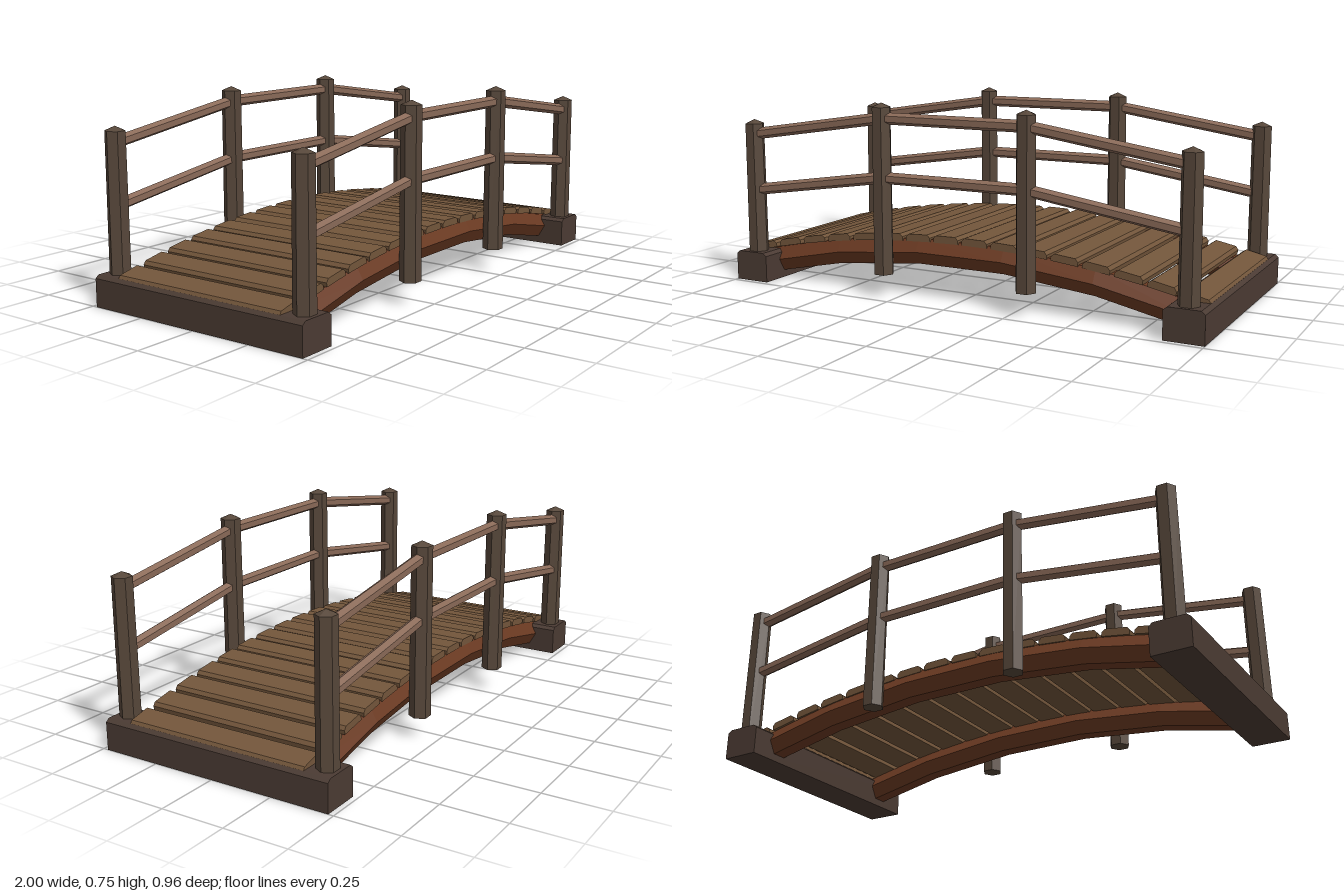
import * as THREE from 'three';

const material = (color) => new THREE.MeshStandardMaterial({ color, flatShading: true });

// Beam with a chamfered x/y profile, running across the bridge along z
function crossBeam(halfWidth, height, chamferX, chamferY, length) {
  const shape = new THREE.Shape([
    new THREE.Vector2(-halfWidth, 0),
    new THREE.Vector2(halfWidth, 0),
    new THREE.Vector2(halfWidth, height - chamferY),
    new THREE.Vector2(halfWidth - chamferX, height),
    new THREE.Vector2(-halfWidth + chamferX, height),
    new THREE.Vector2(-halfWidth, height - chamferY),
  ]);
  return new THREE.ExtrudeGeometry(shape, { depth: length, bevelEnabled: false }).translate(0, 0, -length / 2);
}

export function createModel() {
  const bridge = new THREE.Group();
  bridge.name = 'footbridge';
  const sillWood = material(0x4b3b33);
  const postWood = material(0x57473a);
  const railWood = material(0x8a6a58);
  const plankWood = material(0x73563b);
  const beamWood = material(0x6b3a22);

  const add = (name, geometry, mat, x = 0, y = 0, z = 0) => {
    const mesh = new THREE.Mesh(geometry, mat);
    mesh.name = name;
    mesh.position.set(x, y, z);
    bridge.add(mesh);
    return mesh;
  };

  // Foundation sills at both ends
  for (const s of [-1, 1]) add('sill', crossBeam(0.075, 0.12, 0.015, 0.012, 0.96), sillWood, s * 0.925);

  // Arched hexagonal beams under the deck
  for (const s of [-1, 1]) {
    const beam = new THREE.CylinderGeometry(0.058, 0.058, 1.85, 6, 5).rotateZ(Math.PI / 2);
    const p = beam.attributes.position;
    for (let i = 0; i < p.count; i++) p.setY(i, p.getY(i) + 0.184 - 0.14 * p.getX(i) ** 2);
    add('archBeam', beam, beamWood, 0, 0, s * 0.337);
  }

  // Deck planks following the arch
  const plank = crossBeam(0.054, 0.028, 0.012, 0.012, 0.75);
  for (let i = 0; i < 16; i++) {
    const x = (i - 7.5) * 0.124;
    const mesh = add('plank', plank, plankWood, x, 0.222 - 0.125 * x * x);
    mesh.rotation.z = Math.atan(-0.25 * x);
  }

  // Hexagonal posts with low pointed caps
  const posts = [
    { x: -0.925, bottom: 0.06, top: 0.645 },
    { x: -0.308, bottom: 0.09, top: 0.738 },
    { x: 0.308, bottom: 0.09, top: 0.738 },
    { x: 0.925, bottom: 0.06, top: 0.645 },
  ];
  // Rail between two points at depth z
  const addRail = (a, b, z) => {
    const length = Math.hypot(b.x - a.x, b.y - a.y);
    const rail = new THREE.CylinderGeometry(0.023, 0.023, length, 6).rotateY(Math.PI / 6).rotateZ(Math.PI / 2);
    const mesh = add('rail', rail, railWood, (a.x + b.x) / 2, (a.y + b.y) / 2, z);
    mesh.rotation.z = Math.atan2(b.y - a.y, b.x - a.x);
  };

  for (const z of [-0.43, 0.43]) {
    posts.forEach(({ x, bottom, top }, i) => {
      const height = top - bottom;
      const post = new THREE.CylinderGeometry(0.039, 0.041, height, 6).rotateY(Math.PI / 6);
      add('post', post, postWood, x, bottom + height / 2, z);
      const cap = new THREE.ConeGeometry(0.039, 0.017, 6).rotateY(Math.PI / 6);
      add('postCap', cap, postWood, x, top + 0.0085, z);
      if (i === 0) return;
      const prev = posts[i - 1];
      for (const drop of [0.043, 0.272]) {
        addRail({ x: prev.x, y: prev.top - drop }, { x, y: top - drop }, z);
      }
    });
  }
  return bridge;
}
